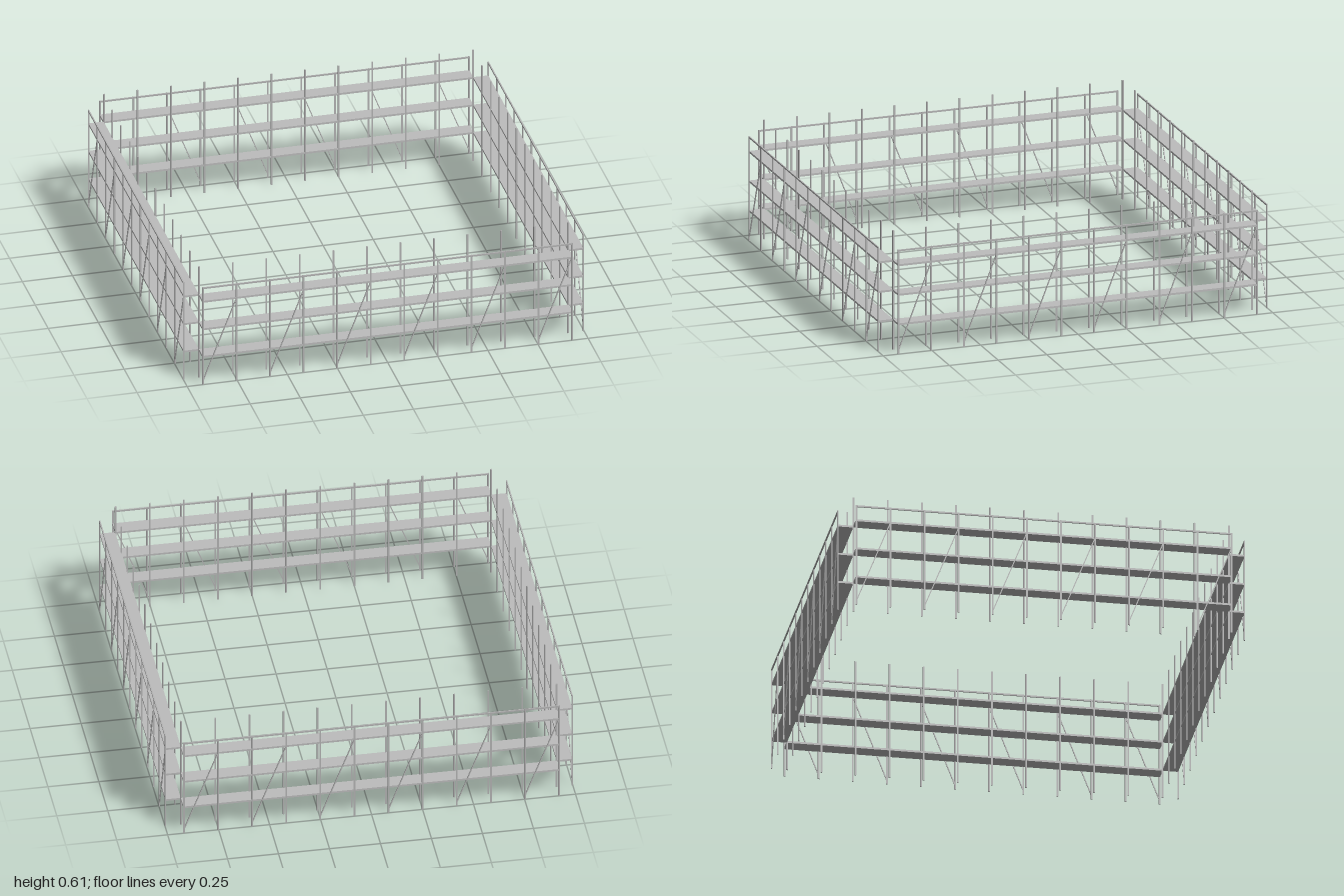
import * as THREE from 'three';

const INNER = 0.922, OUTER = 0.997;   // wall faces, measured from the centre
const BAYS = 11;
const STEP = (2 * 0.92) / BAYS;

export function createModel() {
  const model = new THREE.Group();
  model.name = 'scaffoldEnclosure';

  const steel = new THREE.MeshStandardMaterial({ color: 0xb4b4b4 });
  steel.name = 'steel grey';
  const plank = new THREE.MeshStandardMaterial({ color: 0xbcbcbc });
  plank.name = 'plank grey';

  function box(parent, name, material, size, position) {
    const mesh = new THREE.Mesh(new THREE.BoxGeometry(...size), material);
    mesh.name = name;
    mesh.position.set(...position);
    parent.add(mesh);
    return mesh;
  }

  // One straight scaffold run along x, facing +z
  function createRun() {
    const run = new THREE.Group();

    // Three walking decks
    for (const y of [0.15, 0.3, 0.45]) {
      box(run, 'deck', plank, [2 * INNER, 0.01, OUTER - INNER], [0, y, (INNER + OUTER) / 2]);
    }

    // Short outer posts and taller inner posts
    for (let i = 0; i <= BAYS; i++) {
      const x = -0.92 + i * STEP;
      box(run, 'outerPost', steel, [0.008, 0.53, 0.006], [x, 0.265, OUTER]);
      box(run, 'innerPost', steel, [0.008, 0.605, 0.006], [x, 0.3025, INNER]);
    }

    // Guard rail on the outside
    box(run, 'guardRail', steel, [2 * INNER, 0.008, 0.006], [0, 0.525, OUTER]);

    // Diagonal brace in every second bay
    const rise = 0.43;
    for (let i = 0; i < BAYS; i += 2) {
      const brace = box(run, 'diagonalBrace', steel,
        [0.005, Math.hypot(STEP, rise), 0.005], [-0.92 + (i + 0.5) * STEP, 0.02 + rise / 2, OUTER]);
      brace.rotation.z = -Math.atan2(STEP, rise);
    }
    return run;
  }

  // Four runs around the square
  ['frontRun', 'leftRun', 'backRun', 'rightRun'].forEach((name, i) => {
    const run = createRun();
    run.name = name;
    run.rotation.y = (i * Math.PI) / 2;
    model.add(run);
  });

  return model;
}
